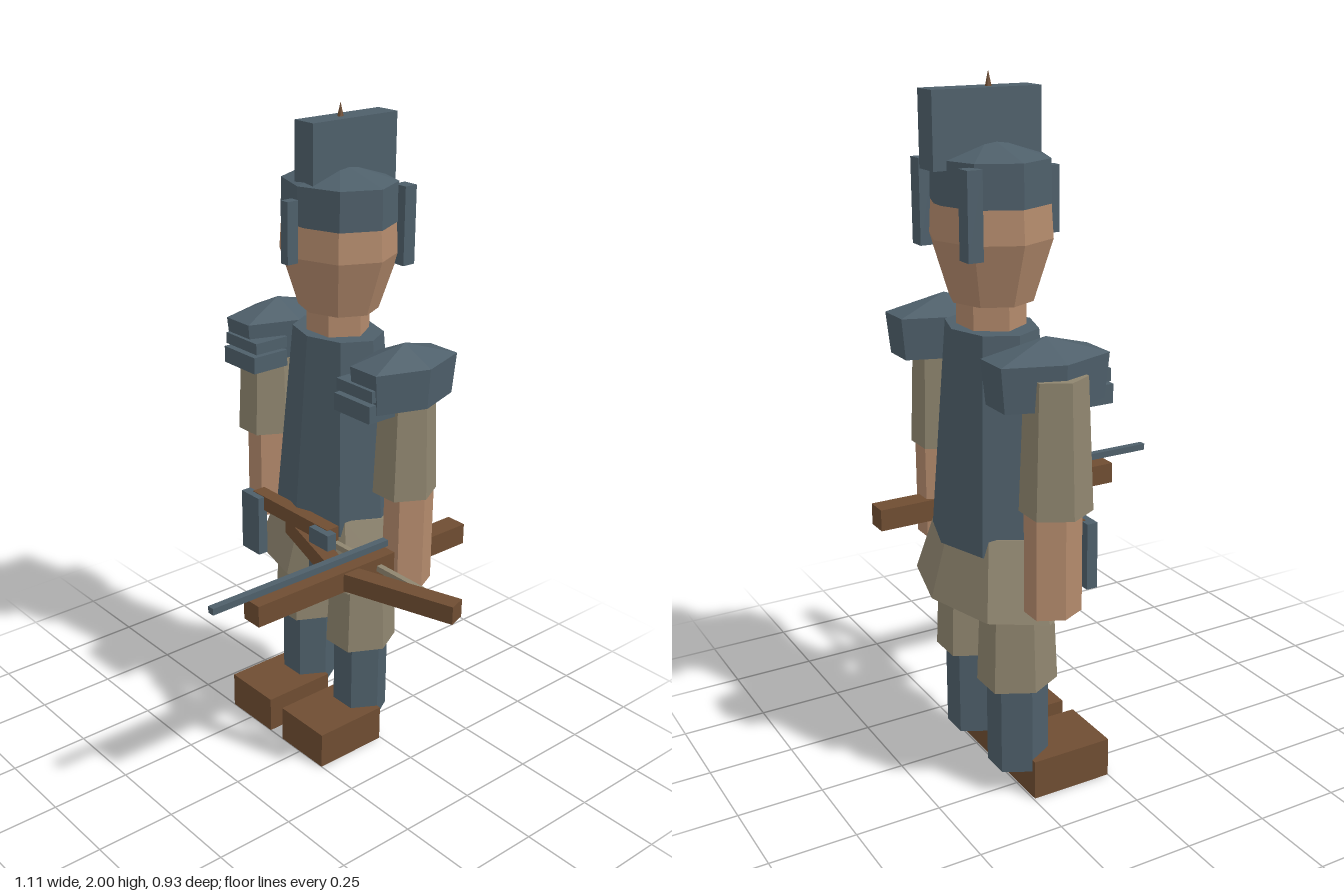
import * as THREE from 'three';

const mat = (name, color) => {
  const m = new THREE.MeshStandardMaterial({ color, flatShading: true });
  m.name = name;
  return m;
};

export function createModel() {
  const steel = mat('slate steel', 0x4e5f6a);
  const skin = mat('skin', 0xb38a6c);
  const cloth = mat('khaki cloth', 0x8f856f);
  const leather = mat('brown leather and wood', 0x6f4d32);
  const CX = -0.12, CZ = -0.245; // body axis

  const model = new THREE.Group();
  model.name = 'crossbowSoldier';
  const add = (name, geo, material, x, y, z, parent = model) => {
    const m = new THREE.Mesh(geo, material);
    m.name = name;
    m.position.set(x, y, z);
    parent.add(m);
    return m;
  };
  // Box given by its limits on each axis
  const box = (name, material, [x0, x1], [y0, y1], [z0, z1]) =>
    add(name, new THREE.BoxGeometry(x1 - x0, y1 - y0, z1 - z0), material,
      (x0 + x1) / 2, (y0 + y1) / 2, (z0 + z1) / 2);
  // Faceted solid from [radius, y] rings, closed at both ends; depth scales z
  const turned = (name, material, x, sides, rings, depth) => {
    const pts = [[0, rings[0][1]], ...rings, [0, rings[rings.length - 1][1]]]
      .filter((p, i, a) => i === 0 || p[0] !== a[i - 1][0] || p[1] !== a[i - 1][1])
      .map(([r, y]) => new THREE.Vector2(r, y));
    const geo = new THREE.LatheGeometry(pts, sides, sides === 6 ? Math.PI / 6 : 0);
    geo.scale(1, 1, depth);
    return add(name, geo, material, x, 0, CZ);
  };

  // Trunk and head
  turned('tunicSkirt', cloth, CX, 8, [[0.31, 0.58], [0.218, 0.79]], 0.64);
  turned('breastplate', steel, CX, 8, [[0.214, 0.74], [0.155, 1.34]], 0.77);
  turned('neck', skin, CX, 6, [[0.1, 1.3], [0.1, 1.43]], 0.92);
  turned('head', skin, CX, 8, [[0.127, 1.41], [0.186, 1.58], [0.178, 1.7]], 0.88);

  // Helmet
  turned('helmet', steel, CX, 8, [[0.184, 1.67], [0.182, 1.785], [0, 1.835]], 0.86);
  box('crest', steel, [-0.16, -0.08], [1.76, 1.96], [-0.425, -0.112]);
  box('noseGuard', steel, [-0.135, -0.105], [1.57, 1.75], [-0.08, -0.042]);
  add('crestSpike', new THREE.ConeGeometry(0.011, 0.05, 8), leather, CX, 1.975, CZ);

  for (const s of [-1, 1]) {
    const side = s > 0 ? 'left' : 'right';
    const at = (d) => CX + s * d;
    const span = (a, b) => [Math.min(at(a), at(b)), Math.max(at(a), at(b))];

    // Leg, trouser leg and shoe
    turned(side + 'Shin', steel, at(0.128), 6, [[0.085, 0.08], [0.085, 0.4]], 1.02);
    turned(side + 'TrouserLeg', cloth, at(0.128), 6, [[0.105, 0.34], [0.092, 0.66]], 1.1);
    box(side + 'Shoe', leather, span(0.03, 0.227), [0, 0.117], [-0.245, 0]);

    // Arm and sleeve
    turned(side + 'Forearm', skin, at(0.325), 6, [[0.066, 0.63], [0.066, 0.96]], 1.2);
    turned(side + 'Sleeve', cloth, s > 0 ? 0.185 : -0.46, 6, [[0.092, 0.92], [0.078, 1.28]], 1.06);

    // Shoulder armour with two front lames
    turned(side + 'Pauldron', steel, at(0.287), 6, [[0.1, 1.2], [0.108, 1.32], [0, 1.37]], 1.68);
    box(side + 'UpperLame', steel, span(0.185, 0.335), [1.24, 1.275], [-0.2, -0.08]);
    box(side + 'LowerLame', steel, span(0.185, 0.335), [1.18, 1.232], [-0.2, -0.072]);

    // Helmet rear flap and hanging hip plate
    box(side + 'HelmetFlap', steel, span(0.113, 0.162), [1.545, 1.775], [-0.393, -0.35]);
    box(side + 'HipPlate', steel, span(0.123, 0.208), [0.6, 0.795], [-0.066, -0.033]);
  }
  box('belt', leather, [-0.3, 0.06], [0.75, 0.797], [-0.1, -0.055]);

  // Crossbow
  box('crossbowStock', leather, [0.157, 0.223], [0.685, 0.75], [-0.467, 0.33]);
  for (const s of [-1, 1]) {
    const limb = new THREE.Group();
    limb.name = s > 0 ? 'leftBowLimb' : 'rightBowLimb';
    limb.position.set(0.19, 0.717, 0.003);
    limb.rotation.y = s > 0 ? 0.31 : Math.PI - 0.31;
    add('limbBar', new THREE.BoxGeometry(0.375, 0.055, 0.055), leather, 0.1875, 0, 0, limb);
    model.add(limb);
  }
  box('bowString', cloth, [-0.13, 0.51], [0.71, 0.728], [-0.125, -0.107]);
  box('bolt', steel, [0.179, 0.201], [0.764, 0.784], [-0.17, 0.467]);

  return model;
}
